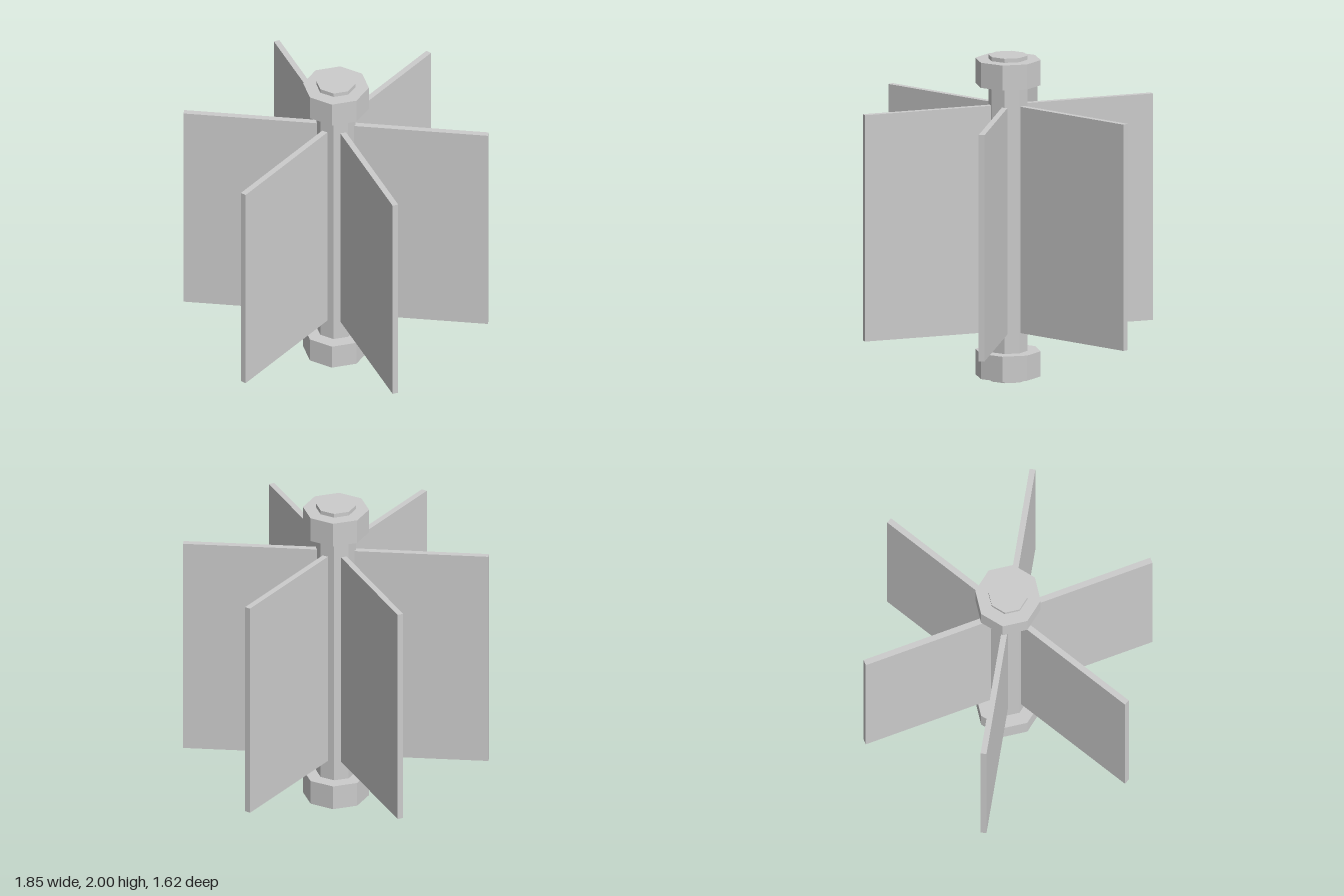
import * as THREE from 'three';

export function createModel() {
  const model = new THREE.Group();
  model.name = 'paddleRotor';
  const material = new THREE.MeshStandardMaterial({ color: 0xcccccc, flatShading: true });

  const add = (name, geometry, y, parent = model) => {
    const mesh = new THREE.Mesh(geometry, material);
    mesh.name = name;
    mesh.position.y = y;
    parent.add(mesh);
    return mesh;
  };

  // Octagonal shaft, with corners on the x and z axes
  add('shaft', new THREE.CylinderGeometry(0.12, 0.12, 2, 8), 1);

  // Octagonal collars near both ends
  const collar = new THREE.CylinderGeometry(0.2, 0.2, 0.155, 8);
  add('bottomCollar', collar, 0.1025);
  add('topCollar', collar, 1.8975);

  // Six flat paddles radiating from inside the shaft
  const inner = 0.04, outer = 0.925;
  const paddle = new THREE.BoxGeometry(outer - inner, 1.395, 0.036);
  paddle.translate((inner + outer) / 2, 0, 0);
  const paddles = new THREE.Group();
  paddles.name = 'paddles';
  model.add(paddles);
  for (let i = 0; i < 6; i++) {
    add(`paddle${i + 1}`, paddle, 1, paddles).rotation.y = (i * Math.PI) / 3;
  }

  return model;
}
